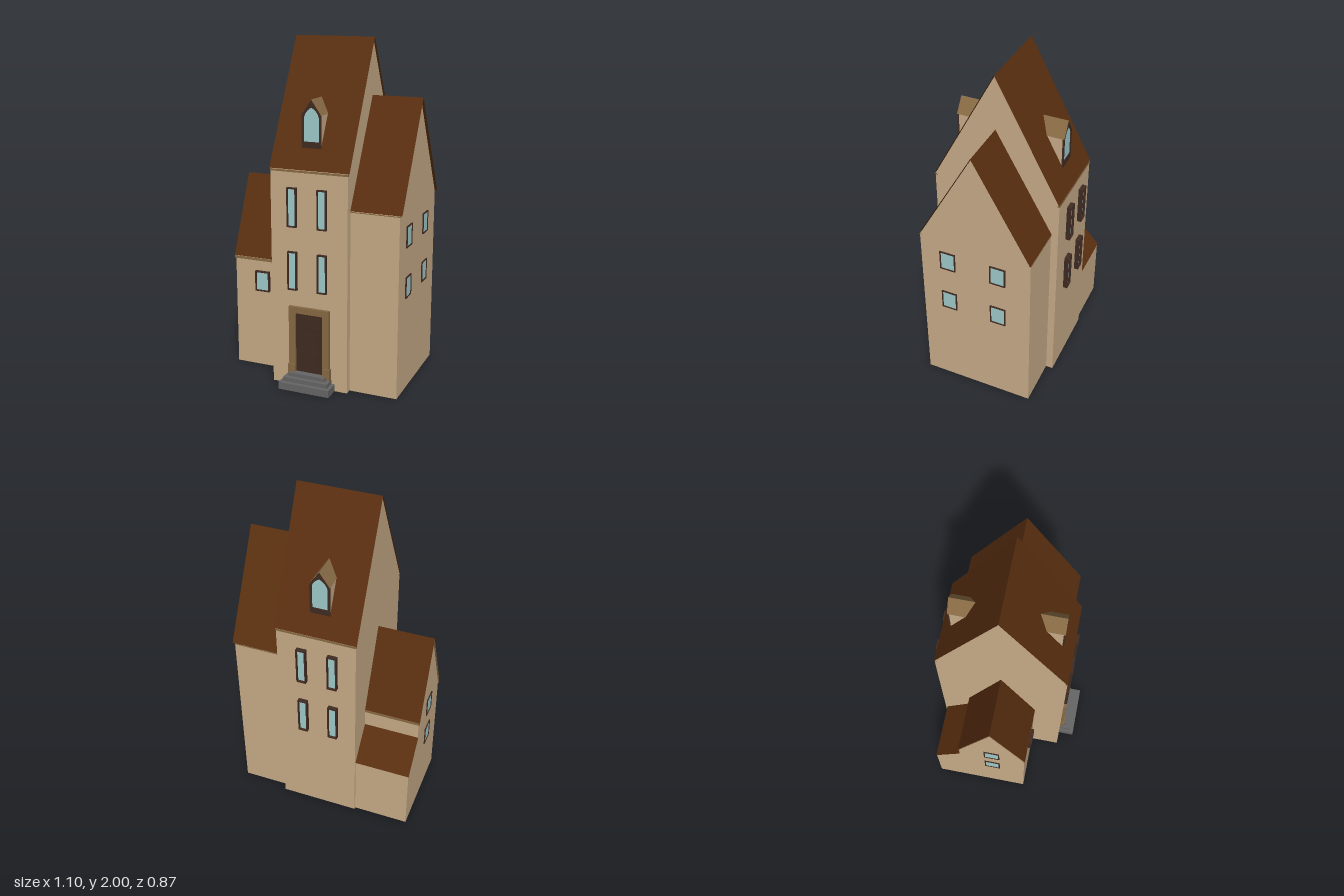
import * as THREE from 'three';

const mat = (name, color, side = THREE.FrontSide) => {
  const m = new THREE.MeshStandardMaterial({ color, side });
  m.name = name;
  return m;
};

export function createModel() {
  const wall = mat('sandy plaster', 0xc8ac88);
  const roofing = mat('brown roof', 0x5a2f10, THREE.DoubleSide);
  const trim = mat('light wood trim', 0x876a44, THREE.DoubleSide);
  const dark = mat('dark wood', 0x402b22);
  const glass = mat('pale glass', 0xa0cbcb);
  const stone = mat('grey stone', 0x666666);

  const house = new THREE.Group();
  house.name = 'house';
  const RIDGE = -0.035; // shared ridge line in z

  const add = (name, geo, material, parent = house) => {
    const mesh = new THREE.Mesh(geo, material);
    mesh.name = name;
    parent.add(mesh);
    return mesh;
  };
  // box given by its minimum and maximum on each axis
  const box = (name, material, x0, x1, y0, y1, z0, z1, parent) => {
    const g = new THREE.BoxGeometry(x1 - x0, y1 - y0, z1 - z0);
    g.translate((x0 + x1) / 2, (y0 + y1) / 2, (z0 + z1) / 2);
    return add(name, g, material, parent);
  };
  const poly = (pts) => new THREE.Shape(pts.map(([a, b]) => new THREE.Vector2(a, b)));
  const extrude = (shape, depth) =>
    new THREE.ExtrudeGeometry(shape, { depth, bevelEnabled: false, curveSegments: 6 });
  // (z, y) outline swept along x
  const sweepX = (name, material, pts, x0, x1) => {
    const g = extrude(poly(pts), x1 - x0);
    g.rotateY(-Math.PI / 2).translate(x1, 0, 0);
    return add(name, g, material);
  };
  // flat four-cornered sheet
  const sheet = (name, material, a, b, c, d, parent) => {
    const g = new THREE.BufferGeometry();
    g.setAttribute('position', new THREE.Float32BufferAttribute([a, b, c, a, c, d].flat(), 3));
    g.computeVertexNormals();
    return add(name, g, material, parent);
  };

  // gabled roof: two sheets with a thin board under each eave
  const gableRoof = (name, x0, x1, half, eave, ridge, board, wallX0, wallX1) => {
    for (const s of [1, -1]) {
      const z = RIDGE + s * half;
      const a = [x0, eave, z], b = [x1, eave, z], c = [x1, ridge, RIDGE], d = [x0, ridge, RIDGE];
      if (s > 0) sheet(name, roofing, a, b, c, d);
      else sheet(name, roofing, b, a, d, c);
      const zi = z - s * 0.012;
      box(name + 'EaveBoard', trim, wallX0, wallX1, eave - board, eave - 0.003,
        Math.min(z, zi), Math.max(z, zi));
    }
  };
  const gableWalls = (name, x0, x1, half, eave, ridge) =>
    sweepX(name, wall, [[RIDGE - half, 0], [RIDGE + half, 0], [RIDGE + half, eave],
      [RIDGE, ridge], [RIDGE - half, eave]], x0, x1);

  // tower
  gableWalls('towerWalls', -0.217, 0.25, 0.376, 1.286, 1.994);
  gableRoof('towerRoof', -0.222, 0.26, 0.378, 1.29, 2, 0.015, -0.218, 0.251);

  // taller wing on the left
  gableWalls('tallWingWalls', 0.24, 0.536, 0.334, 1.072, 1.669);
  gableRoof('tallWingRoof', 0.25, 0.55, 0.337, 1.075, 1.675, 0.008, 0.25, 0.537);

  // lower wing on the right, with its lean-to behind
  sweepX('lowWingWalls', wall, [[-0.398, 0], [0.167, 0], [0.167, 0.686], [RIDGE, 1.154],
    [-0.239, 0.686], [-0.239, 0.567], [-0.398, 0.396]], -0.545, -0.21);
  gableRoof('lowWingRoof', -0.552, -0.217, 0.207, 0.69, 1.162, 0.018, -0.55, -0.217);
  sweepX('lowWingVerge', trim, [[RIDGE + 0.206, 0.69], [RIDGE, 1.16], [RIDGE - 0.206, 0.69],
    [RIDGE - 0.206, 0.672], [RIDGE, 1.142], [RIDGE + 0.206, 0.672]], -0.551, -0.544);
  sheet('leanToRoof', roofing, [-0.217, 0.4, -0.402], [-0.548, 0.4, -0.402],
    [-0.548, 0.573, -0.239], [-0.217, 0.573, -0.239]);

  // framed window; it faces local +z
  const framed = (name, outer, inner, depth, parent) => {
    const pane = inner.clone();
    outer.holes.push(inner);
    add(name + 'Frame', extrude(outer, depth), dark, parent);
    add(name + 'Glass', extrude(pane, depth * 0.5), glass, parent);
  };
  const rect = (w, h) => poly([[-w, -h], [w, -h], [w, h], [-w, h]]);
  const windowAt = (name, w, h, depth, x, y, z, turn) => {
    const g = new THREE.Group();
    g.name = name;
    framed(name, rect(w / 2, h / 2), rect(w / 2 - 0.007, h / 2 - 0.007), depth, g);
    g.position.set(x, y, z);
    g.rotation.y = turn;
    house.add(g);
  };
  for (const y of [0.703, 1.075])
    for (const x of [-0.083, 0.1]) {
      windowAt('towerFrontWindow', 0.057, 0.228, 0.02, x, y, 0.34, 0);
      windowAt('towerBackWindow', 0.057, 0.228, 0.026, x, y, -0.411, Math.PI);
    }
  for (const y of [0.627, 0.925])
    for (const z of [0.133, -0.173])
      windowAt('tallWingWindow', 0.095, 0.125, 0.008, 0.535, y, z, Math.PI / 2);
  for (const y of [0.438, 0.67])
    windowAt('lowWingSideWindow', 0.095, 0.123, 0.007, -0.544, y, RIDGE, -Math.PI / 2);
  windowAt('lowWingFrontWindow', 0.092, 0.125, 0.02, -0.363, 0.547, 0.167, 0);

  // dormers on both slopes of the tower
  const arch = (w, y0, y1, y2) => {
    const s = new THREE.Shape();
    s.moveTo(-w, y0);
    s.lineTo(w, y0);
    s.lineTo(w, y1);
    s.quadraticCurveTo(w * 0.8, (y1 + y2) / 2 + 0.01, 0, y2);
    s.quadraticCurveTo(-w * 0.8, (y1 + y2) / 2 + 0.01, -w, y1);
    return s;
  };
  const gable = (w, y0, y1, y2) => poly([[-w, y0], [w, y0], [w, y1], [0, y2], [-w, y1]]);
  for (const turn of [0, Math.PI]) {
    const d = new THREE.Group();
    d.name = 'dormer';
    d.position.set(0.01, 0, RIDGE);
    d.rotation.y = turn;
    house.add(d);
    const body = add('dormerWalls', extrude(gable(0.057, 1.41, 1.587, 1.67), 0.2), wall, d);
    body.position.z = 0.112;
    for (const s of [1, -1])
      sheet('dormerRoof', trim, [s * 0.06, 1.588, 0.15], [s * 0.06, 1.588, 0.32],
        [0, 1.675, 0.32], [0, 1.675, 0.15], d);
    const win = new THREE.Group();
    win.name = 'dormerWindow';
    win.position.z = 0.31;
    framed('dormerWindow', gable(0.058, 1.405, 1.588, 1.672), arch(0.045, 1.44, 1.575, 1.63), 0.009, win);
    d.add(win);
  }

  // doorway with surround, plinths and panelled door
  const cx = 0.02;
  for (const s of [1, -1]) {
    const span = (a, b) => (s > 0 ? [cx + a, cx + b] : [cx - b, cx - a]);
    box('doorJamb', trim, ...span(0.085, 0.125), 0, 0.49, 0.335, 0.36);
    box('doorPlinth', trim, ...span(0.085, 0.131), 0, 0.135, 0.335, 0.366);
  }
  box('doorLintel', trim, cx - 0.085, cx + 0.085, 0.452, 0.49, 0.335, 0.36);
  box('door', dark, cx - 0.085, cx + 0.085, 0.02, 0.452, 0.335, 0.347);
  for (const [y0, y1] of [[0.12, 0.22], [0.24, 0.33], [0.35, 0.43]])
    box('doorPanel', dark, cx - 0.055, cx + 0.055, y0, y1, 0.347, 0.351);

  // stone steps
  [[0.157, 0, 0.043, 0.436], [0.138, 0.043, 0.068, 0.412], [0.114, 0.068, 0.09, 0.387]].forEach(
    ([w, y0, y1, z]) => box('doorStep', stone, cx - 0.003 - w, cx - 0.003 + w, y0, y1, 0.335, z));

  return house;
}
